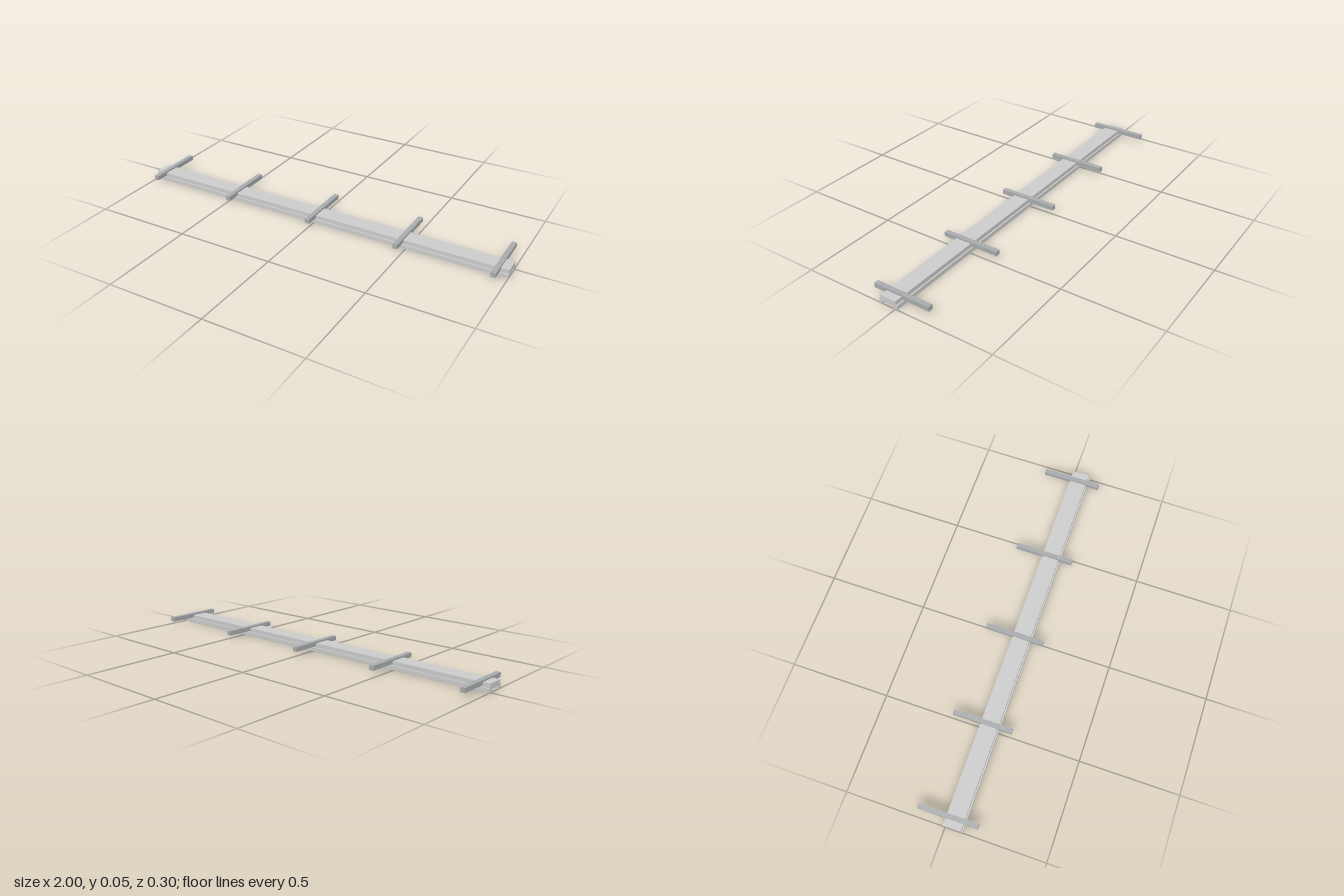
import * as THREE from 'three';

export function createModel() {
  const group = new THREE.Group();
  const railMaterial = new THREE.MeshStandardMaterial({ color: 0xcccccc, flatShading: true });
  const barMaterial = new THREE.MeshStandardMaterial({ color: 0xa8abad, flatShading: true });

  // Channel rail: half section (offset from centre, height), mirrored and extruded along x
  const half = [[0.031, 0.015], [0.031, 0], [0.0495, 0], [0.0495, 0.02], [0.042, 0.02], [0.042, 0.041]];
  const section = [...half, ...half.slice().reverse().map(([u, v]) => [-u, v])];
  const shape = new THREE.Shape(section.map(([u, v]) => new THREE.Vector2(u, v)));
  const railGeometry = new THREE.ExtrudeGeometry(shape, { depth: 2, bevelEnabled: false });
  railGeometry.translate(0, 0, -1).rotateY(Math.PI / 2);
  const rail = new THREE.Mesh(railGeometry, railMaterial);
  rail.name = 'channelRail';
  rail.position.z = 0.0385;
  group.add(rail);

  // Five evenly spaced cross bars
  const barGeometry = new THREE.BoxGeometry(0.024, 0.023, 0.3);
  for (let i = -2; i <= 2; i++) {
    const bar = new THREE.Mesh(barGeometry, barMaterial);
    bar.name = `crossBar${i + 3}`;
    bar.position.set(i * 0.475 - 0.002, 0.0385, 0);
    group.add(bar);
  }
  return group;
}
